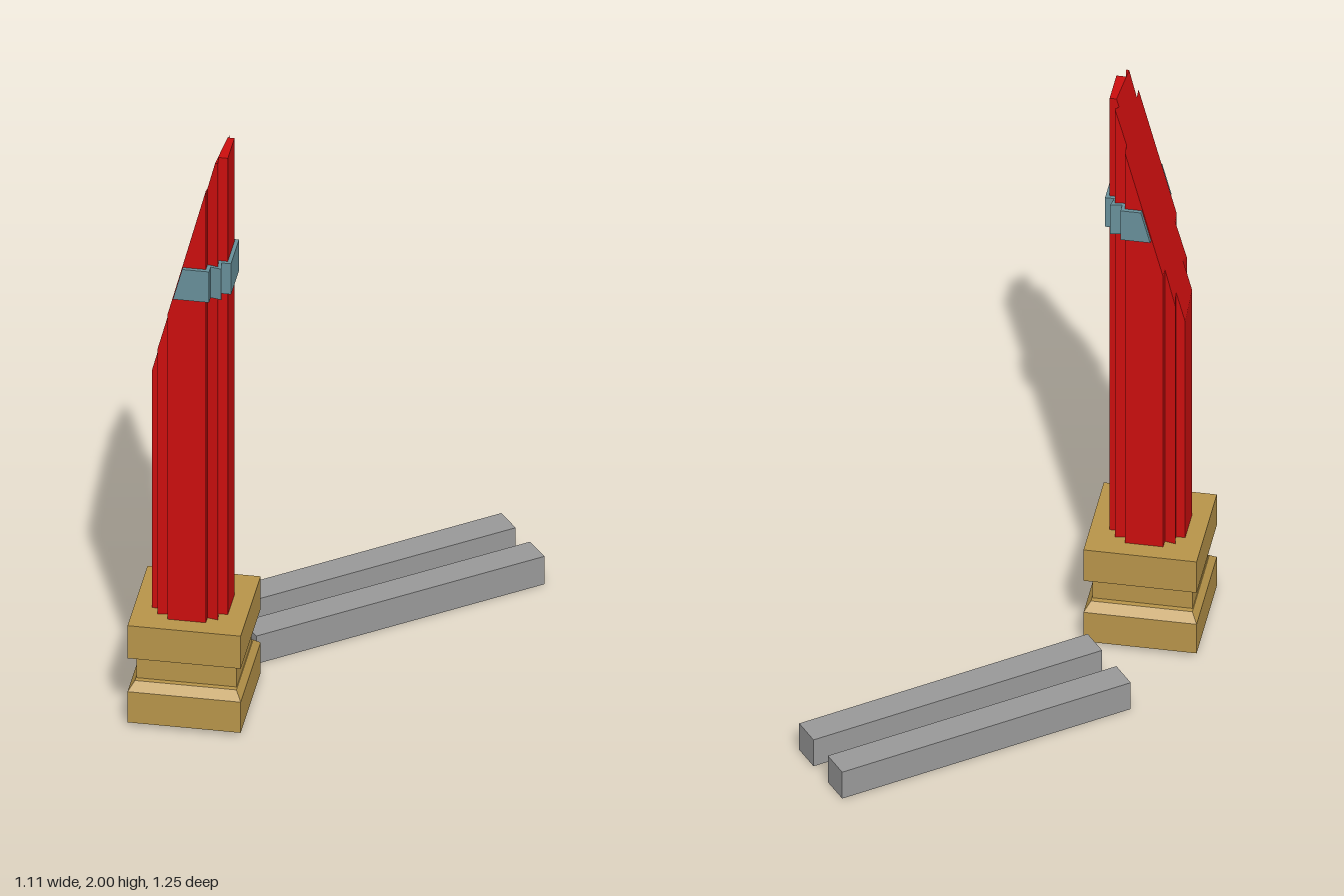
import * as THREE from 'three';

const CX = -0.382, CZ = 0.45, TOP = 2;

const paint = (color, side = THREE.FrontSide) =>
  new THREE.MeshStandardMaterial({ color, flatShading: true, side });

// Slanted cut through the shaft, as a height and as an x position
const cutY = (x, z) => 1.23 + 3.85 * (x + 0.5) + 0.3 * (z - 0.565);
const cutX = (y, z) => (y - 1.23 - 0.3 * (z - 0.565)) / 3.85 - 0.5;

// Ribbed cross-section: one quadrant turned four times, grown by o
function outline(o) {
  const quad = [[0.117, 0.059], [0.088, 0.059], [0.093, 0.095], [0.059, 0.088], [0.059, 0.117]];
  const pts = [];
  for (let k = 0; k < 4; k++) {
    for (const q of quad) {
      let [x, z] = [q[0] + o, q[1] + o];
      for (let i = 0; i < k; i++) [x, z] = [-z, x];
      pts.push([CX + x, CZ + z]);
    }
  }
  return pts;
}

// Keep the part of a polygon where f(x, z) >= 0
function clip(pts, f) {
  const out = [];
  pts.forEach((a, i) => {
    const b = pts[(i + 1) % pts.length];
    const fa = f(...a), fb = f(...b);
    if (fa >= 0) out.push(a);
    if ((fa >= 0) !== (fb >= 0)) {
      const t = fa / (fa - fb);
      out.push([a[0] + (b[0] - a[0]) * t, a[1] + (b[1] - a[1]) * t]);
    }
  });
  return out;
}

// Upright prism over a plan polygon; move(x, y, z) returns each vertex's new place
function prism(pts, y0, y1, move) {
  const shape = new THREE.Shape(pts.map(([x, z]) => new THREE.Vector2(x, -z)));
  const g = new THREE.ExtrudeGeometry(shape, { depth: y1 - y0, bevelEnabled: false });
  g.rotateX(-Math.PI / 2).translate(0, y0, 0);
  const p = g.attributes.position;
  for (let i = 0; i < p.count; i++) p.setXYZ(i, ...move(p.getX(i), p.getY(i), p.getZ(i)));
  g.computeVertexNormals();
  return g;
}

// Rectangular moulding from rows of [y, half width, half depth], top to bottom
function moulding(rows) {
  const g = new THREE.CylinderGeometry(Math.SQRT2, Math.SQRT2, 1, 4, rows.length - 1, true);
  g.rotateY(Math.PI / 4);
  const p = g.attributes.position;
  for (let i = 0; i < p.count; i++) {
    const [y, hx, hz] = rows[Math.round((0.5 - p.getY(i)) * (rows.length - 1))];
    p.setXYZ(i, p.getX(i) * hx, y, p.getZ(i) * hz);
  }
  const flat = g.toNonIndexed();
  flat.computeVertexNormals();
  return flat;
}

export function createModel() {
  const model = new THREE.Group();
  const add = (name, geometry, material) => {
    const mesh = new THREE.Mesh(geometry, material);
    mesh.name = name;
    model.add(mesh);
    return mesh;
  };

  // Stepped pedestal, open underneath
  const pedestal = add('pedestal', moulding([
    [0.362, 0, 0], [0.362, 0.175, 0.175], [0.245, 0.175, 0.175], [0.232, 0.155, 0.13],
    [0.15, 0.155, 0.13], [0.15, 0.157, 0.147], [0.125, 0.175, 0.175], [0.015, 0.175, 0.175],
  ]), paint(0xb8954a, THREE.DoubleSide));
  pedestal.position.set(-0.38, 0, CZ);

  // Ribbed shaft: the slanted side and the flat-topped side
  const red = paint(0xcc0e0e);
  const trim = (x, y, z) => [x, y > 1 ? Math.min(TOP, cutY(x, z)) : y, z];
  const section = outline(0);
  add('shaftSlantedSide', prism(clip(section, (x, z) => TOP - cutY(x, z)), 0.36, TOP, trim), red);
  add('shaftFlatTop', prism(clip(section, (x, z) => cutY(x, z) - TOP), 0.36, TOP, trim), red);

  // Band around the shaft, ending just short of the slanted cut
  const mid = 1.575, inset = 0.003;
  const ring = clip(outline(0.012), (x, z) => x - cutX(mid, z) - inset);
  add('band', prism(ring, 1.52, 1.63, (x, y, z) =>
    [Math.abs(x - cutX(mid, z) - inset) < 1e-4 ? cutX(y, z) + inset : x, y, z]), paint(0x68909a));

  // Two parallel beams on the ground
  const grey = paint(0x999999);
  for (const [name, x, z] of [['backBeam', 0.0175, -0.285], ['frontBeam', 0.1325, -0.138]]) {
    const beam = add(name, new THREE.BoxGeometry(0.991, 0.1, 0.095), grey);
    beam.position.set(x, 0.05, z);
    beam.rotation.y = Math.atan2(0.605, 0.785);
  }
  return model;
}
